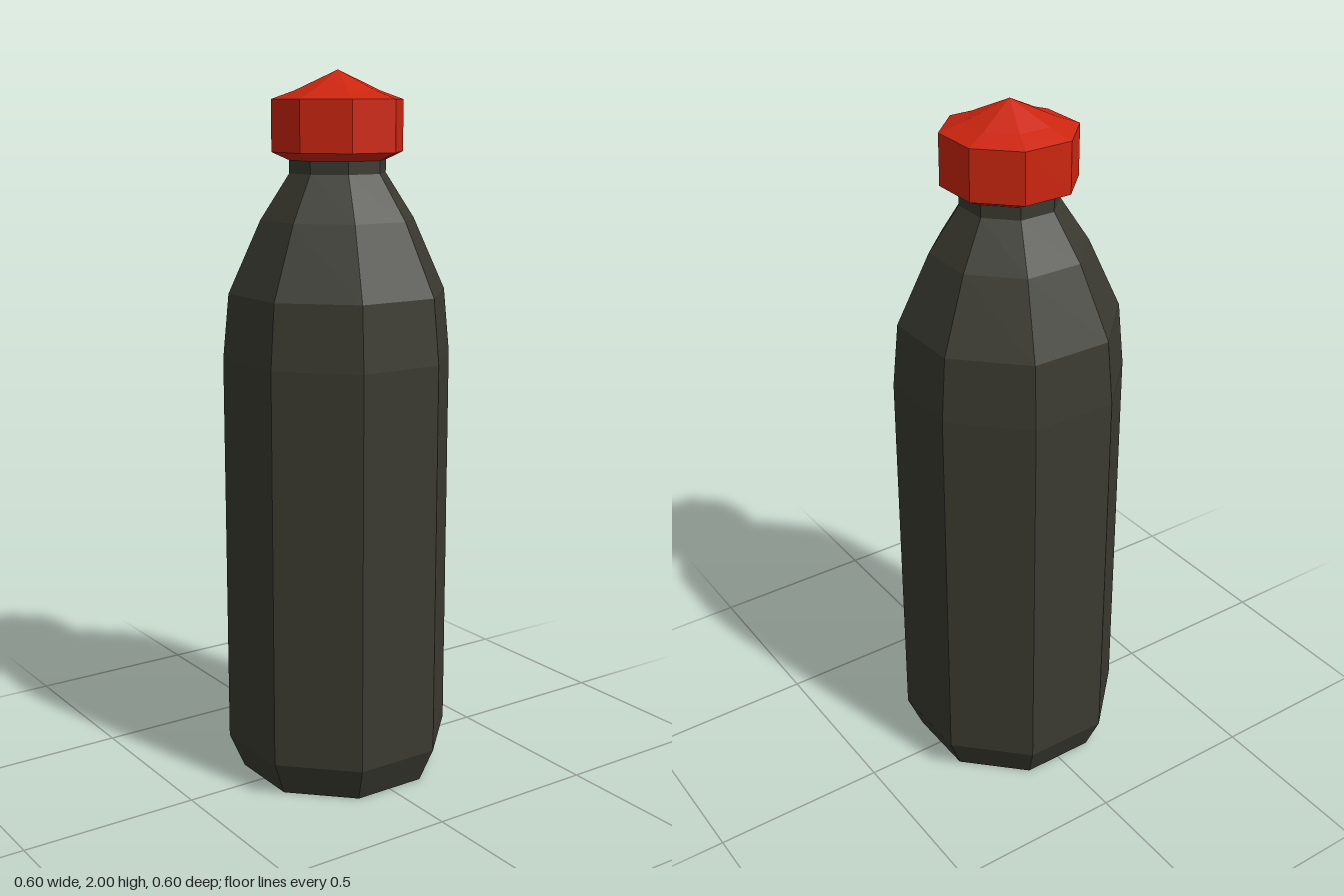
import * as THREE from 'three';

const SIDES = 8;

// Faceted eight-sided lathe; profile gives [distance to flat side, height], bottom to top
function facetedLathe(name, profile, material) {
  const toCorner = 1 / Math.cos(Math.PI / SIDES);
  const points = profile.map(([r, y]) => new THREE.Vector2(r * toCorner, y));
  const geometry = new THREE.LatheGeometry(points, SIDES, Math.PI / SIDES).toNonIndexed();
  geometry.computeVertexNormals();
  const mesh = new THREE.Mesh(geometry, material);
  mesh.name = name;
  return mesh;
}

export function createModel() {
  const bottleDark = new THREE.MeshStandardMaterial({ color: 0x3a3a31 });
  bottleDark.name = 'dark bottle';
  const capRed = new THREE.MeshStandardMaterial({ color: 0xcc2510 });
  capRed.name = 'red cap';

  const model = new THREE.Group();
  model.name = 'bottle';

  // Body with chamfered base, tapered shoulder and short neck
  model.add(facetedLathe('bottleBody', [
    [0, 0], [0.26, 0], [0.3, 0.1], [0.3, 1.22], [0.284, 1.4],
    [0.2, 1.6], [0.125, 1.725], [0.125, 1.77], [0, 1.77],
  ], bottleDark));

  // Cap with sloped underside and shallow pointed top
  model.add(facetedLathe('cap', [
    [0, 1.76], [0.125, 1.76], [0.17, 1.782], [0.17, 1.922], [0.11, 1.945], [0, 2],
  ], capRed));

  return model;
}
